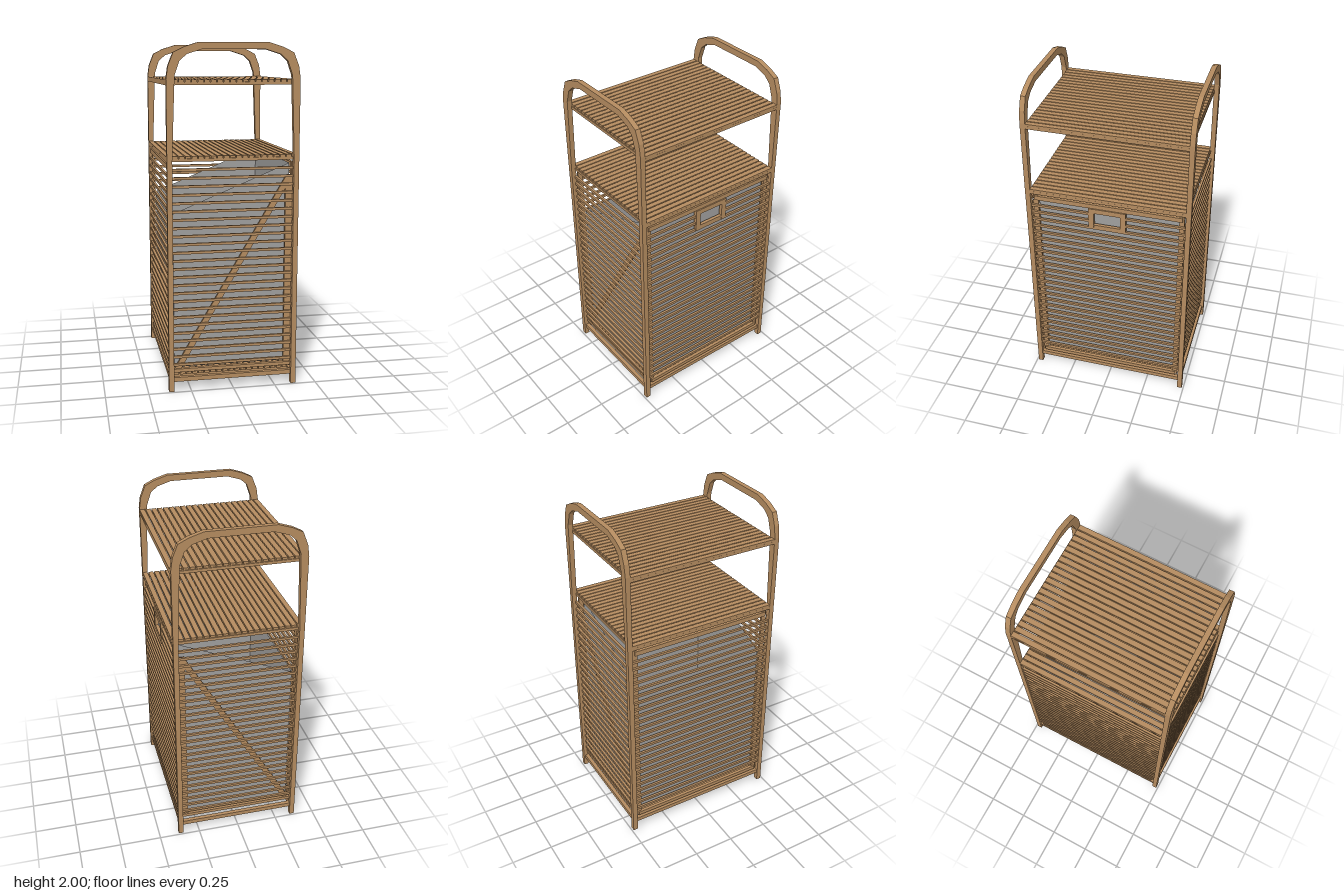
import * as THREE from 'three';

const wood = new THREE.MeshStandardMaterial({ color: 0xb58c60 });
wood.name = 'wood';
const cloth = new THREE.MeshStandardMaterial({ color: 0xa09f9e, side: THREE.DoubleSide });
cloth.name = 'greyCloth';

// Adds a wooden bar given its size and centre
function bar(parent, name, [w, h, d], [x, y, z]) {
  const mesh = new THREE.Mesh(new THREE.BoxGeometry(w, h, d), wood);
  mesh.name = name;
  mesh.position.set(x, y, z);
  parent.add(mesh);
  return mesh;
}

function group(parent, name) {
  const g = new THREE.Group();
  g.name = name;
  parent.add(g);
  return g;
}

// Two legs joined by a rounded handle, cut from one flat outline
function hoopGeometry() {
  const outer = [[0.38, 0], [0.38, 1.8], [0.37, 1.87], [0.34, 1.945], [0.28, 1.975], [0.2, 2]];
  const inner = [[0.18, 1.962], [0.265, 1.935], [0.305, 1.9], [0.333, 1.82], [0.35, 1.35], [0.35, 0]];
  const mirror = pts => pts.map(([x, y]) => [-x, y]).reverse();
  const outline = [...outer, ...mirror(outer), ...mirror(inner), ...inner];
  const shape = new THREE.Shape(outline.map(([x, y]) => new THREE.Vector2(x, y)));
  const geo = new THREE.ExtrudeGeometry(shape, { depth: 0.03, bevelEnabled: false });
  geo.translate(0, 0, -0.015);
  return geo;
}

// Slatted shelf; y is the top surface
function addShelf(parent, name, y) {
  const shelf = group(parent, name);
  for (let i = 0; i < 21; i++) {
    bar(shelf, 'shelfSlat', [0.03, 0.013, 0.92], [(i - 10) * 0.0365 * 0.999, y - 0.0065, 0]);
  }
  for (const s of [-1, 1]) {
    bar(shelf, 'shelfEndRail', [0.7, 0.017, 0.03], [0, y - 0.0215, s * 0.45]);
    bar(shelf, 'shelfSideRail', [0.03, 0.017, 0.92], [s * 0.365, y - 0.0215, 0]);
  }
}

export function createModel() {
  const model = new THREE.Group();
  model.name = 'laundryHamperShelf';

  // Hoop frames at the front and back
  const hoop = hoopGeometry();
  for (const s of [-1, 1]) {
    const mesh = new THREE.Mesh(hoop, wood);
    mesh.name = s > 0 ? 'frontFrame' : 'backFrame';
    mesh.position.z = s * 0.475;
    model.add(mesh);
  }

  addShelf(model, 'topShelf', 1.797);
  addShelf(model, 'lowerShelf', 1.373);

  // Base rails and slatted floor
  const base = group(model, 'base');
  for (const s of [-1, 1]) {
    bar(base, 'baseEndRail', [0.7, 0.026, 0.024], [0, 0.069, s * 0.468]);
    bar(base, 'baseSideRail', [0.024, 0.026, 0.92], [s * 0.36, 0.069, 0]);
    bar(base, 'panelEndRail', [0.7, 0.02, 0.024], [0, 0.118, s * 0.455]);
    bar(base, 'floorSupport', [0.7, 0.014, 0.03], [0, 0.072, s * 0.4]);
  }
  for (let i = 0; i < 19; i++) {
    bar(base, 'floorSlat', [0.03, 0.013, 0.86], [(i - 9) * 0.0365, 0.086, 0]);
  }

  // Front and back panels: slats, inner upright and diagonal brace
  const dx = 0.65, dy = 1.11;
  for (const s of [-1, 1]) {
    const panel = group(model, s > 0 ? 'frontPanel' : 'backPanel');
    for (let i = 0; i < 25; i++) {
      bar(panel, 'panelSlat', [0.72, 0.015, 0.014], [0, 0.155 + i * 0.0476, s * 0.465]);
    }
    bar(panel, 'upright', [0.035, 1.13, 0.016], [0.328, 0.685, s * 0.449]);
    const brace = bar(panel, 'diagonalBrace', [0.034, Math.hypot(dx, dy), 0.014], [0, 0.68, s * 0.45]);
    brace.rotation.z = -Math.atan2(dx, dy);
  }

  // Side panels; the left one is the door with a framed hand hole
  for (const s of [-1, 1]) {
    const panel = group(model, s > 0 ? 'door' : 'rightPanel');
    const x = s * 0.366;
    for (let i = 0; i < 24; i++) {
      const y = 0.163 + i * 0.0476;
      if (s > 0 && y > 1.16 && y < 1.29) {
        for (const t of [-1, 1]) bar(panel, 'shortSlat', [0.014, 0.015, 0.36], [x, y, t * 0.28]);
      } else {
        bar(panel, 'sideSlat', [0.014, 0.015, 0.92], [x, y, 0]);
      }
    }
    for (const t of [-1, 1]) {
      bar(panel, 'sideUpright', [0.014, 1.23, 0.03], [s * 0.353, 0.712, t * 0.435]);
    }
    bar(panel, 'sideTopRail', [0.02, 0.028, 0.88], [s * 0.36, 1.311, 0]);
    bar(panel, 'sideBottomRail', [0.02, 0.024, 0.88], [s * 0.36, 0.112, 0]);
    if (s > 0) {
      for (const t of [-1, 1]) {
        bar(panel, 'handleUpright', [0.022, 0.14, 0.032], [0.367, 1.229, t * 0.095]);
        bar(panel, 'handleRail', [0.02, 0.03, 0.16], [0.367, 1.229 + t * 0.055, 0]);
      }
    }
  }

  // Open cloth bag whose rim slopes down from the door
  const bagGeo = new THREE.BoxGeometry(0.68, 1, 0.84);
  const index = Array.from(bagGeo.index.array);
  index.splice(12, 6);
  bagGeo.setIndex(index);
  bagGeo.clearGroups();
  const pos = bagGeo.attributes.position;
  for (let i = 0; i < pos.count; i++) {
    const rim = 1.18 + pos.getX(i) * 0.41;
    pos.setY(i, pos.getY(i) > 0 ? rim : 0.125);
  }
  bagGeo.computeVertexNormals();
  const bag = new THREE.Mesh(bagGeo, cloth);
  bag.name = 'bag';
  model.add(bag);

  return model;
}
